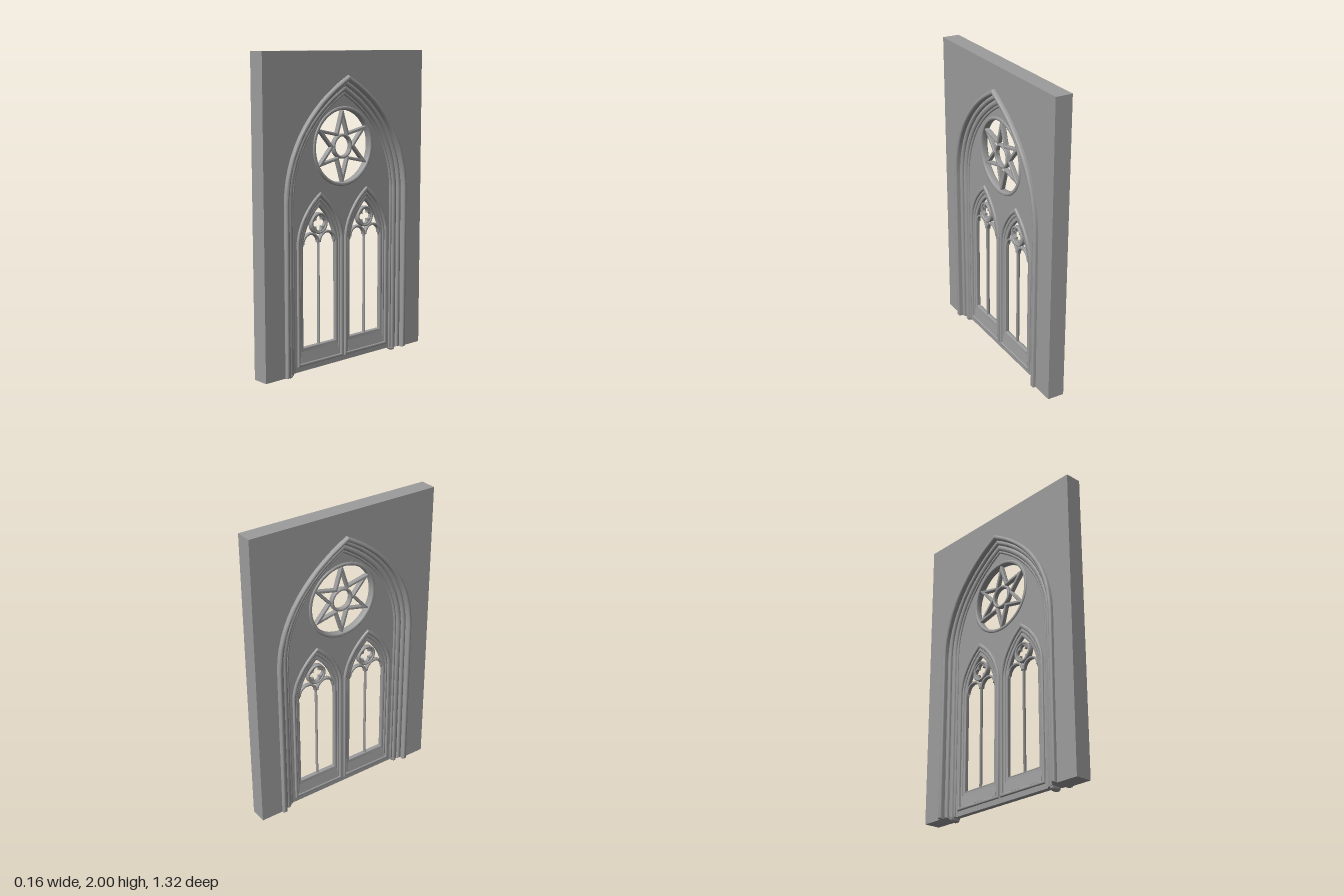
import * as THREE from 'three';
import { toCreasedNormals } from 'three/addons/utils/BufferGeometryUtils.js';

const material = new THREE.MeshStandardMaterial({ color: 0x9c9c9c });
const V = (x, y) => new THREE.Vector2(x, y);

// Pointed arch outline, from the right foot over the apex to the left foot.
// c holds the two curve handles as fractions of the width and the rise
function archPoints(w, base, spring, apex, c) {
  const h = apex - spring;
  const side = new THREE.CubicBezierCurve(
    V(w, spring), V(w * c[0], spring + h * c[1]), V(w * c[2], spring + h * c[3]), V(0, apex)
  ).getPoints(14);
  const right = [V(w, base), ...side];
  const left = right.slice(0, -1).reverse().map((p) => V(-p.x, p.y));
  return [...right, ...left];
}

function circlePoints(r, n = 40, cx = 0, cy = 0) {
  return Array.from({ length: n }, (_, i) => {
    const a = (i / n) * Math.PI * 2;
    return V(cx + r * Math.cos(a), cy + r * Math.sin(a));
  });
}

// Six-pointed star with one point straight up
function starPoints(tip, inner) {
  return Array.from({ length: 12 }, (_, i) => {
    const a = Math.PI / 2 + (i * Math.PI) / 6;
    const r = i % 2 ? inner : tip;
    return V(r * Math.cos(a), r * Math.sin(a));
  });
}

// Four round lobes of radius r whose centres lie at distance d
function quatrefoilPoints(d, r) {
  return Array.from({ length: 48 }, (_, i) => {
    const a = (i / 48) * Math.PI * 2;
    const b = a - Math.round(a / (Math.PI / 2)) * (Math.PI / 2);
    const q = d * Math.cos(b) + Math.sqrt(r * r - (d * Math.sin(b)) ** 2);
    return V(q * Math.cos(a), q * Math.sin(a));
  });
}

function addMesh(name, parent, geo, x = 0, y = 0) {
  const mesh = new THREE.Mesh(geo, material);
  mesh.name = name;
  mesh.position.set(x, y, 0);
  parent.add(mesh);
  return mesh;
}

// Slab of half thickness t centred on the wall plane, with rounded edges
function slab(name, parent, outline, holes, t, bevel = 0) {
  const shape = new THREE.Shape(outline);
  holes.forEach((h) => shape.holes.push(new THREE.Path(h)));
  const geo = new THREE.ExtrudeGeometry(shape, {
    depth: 2 * (t - bevel), bevelEnabled: bevel > 0, bevelThickness: bevel,
    bevelSize: bevel, bevelOffset: -bevel, bevelSegments: 3,
  });
  geo.translate(0, 0, bevel - t);
  return addMesh(name, parent, toCreasedNormals(geo, 0.6));
}

const mainArch = (w, base) =>
  archPoints(w, base, 1.11, 1.85 - (0.51 - w) * 1.15, [0.98, 0.47, 0.55, 0.8]);

// Moulding open at the foot, following the main arch
function archBand(name, parent, outer, inner, base, t, bevel) {
  slab(name, parent, [...mainArch(outer, base), ...mainArch(inner, base).reverse()], [], t, bevel);
}

const lancetArch = (w, base) => {
  const d = 0.188 - w;
  return archPoints(w, base, 0.85 - d * 0.8, 1.14 - d * 1.65, [0.94, 0.4, 0.5, 0.78]);
};

function createLancet() {
  const g = new THREE.Group();
  g.name = 'lancetWindow';
  // Stepped frames
  slab('lancetMoulding', g, lancetArch(0.188, 0.058), [lancetArch(0.168, 0.078)], 0.03, 0.009);
  slab('lancetStep', g, lancetArch(0.17, 0.075), [lancetArch(0.152, 0.09)], 0.02, 0.007);
  slab('innerFrame', g, lancetArch(0.156, 0.085), [lancetArch(0.134, 0.17)], 0.014, 0.005);

  // Sill sloping on both faces, with a thin nosing on top
  const sillGeo = new THREE.ExtrudeGeometry(
    new THREE.Shape([V(-0.024, 0.078), V(0.024, 0.078), V(0.011, 0.17), V(-0.011, 0.17)]),
    { depth: 0.31, bevelEnabled: false }
  );
  sillGeo.translate(0, 0, -0.155);
  sillGeo.rotateY(Math.PI / 2);
  addMesh('sill', g, sillGeo);
  addMesh('sillNosing', g, new THREE.CylinderGeometry(0.007, 0.007, 0.275, 8).rotateZ(Math.PI / 2).scale(1, 1, 2.4), 0, 0.167);

  addMesh('mullion', g, new THREE.CylinderGeometry(0.006, 0.006, 0.67, 8).scale(1, 1, 2), 0, 0.5);

  // Round heads of the two lights
  for (const s of [-1, 1]) {
    const arc = (r) => Array.from({ length: 19 }, (_, i) => {
      const a = (i / 18) * Math.PI;
      return V(s * 0.067 + r * Math.cos(a), 0.825 + r * Math.sin(a));
    });
    slab('lightArch', g, [...arc(0.069), ...arc(0.054).reverse()], [], 0.014, 0.005);
  }
  // Corbels where the heads meet the frame and mullion
  for (const x of [-0.129, 0, 0.129]) {
    addMesh('corbel', g, new THREE.CylinderGeometry(0.012, 0.005, 0.025, 8), x, 0.82);
  }
  // Quatrefoil roundel
  slab('roundelRing', g, circlePoints(0.067), [circlePoints(0.052)], 0.018, 0.006).position.y = 0.945;
  slab('quatrefoil', g, circlePoints(0.056), [quatrefoilPoints(0.027, 0.0205)], 0.011, 0.003).position.y = 0.945;
  return g;
}

function createRose() {
  const g = new THREE.Group();
  g.name = 'roseWindow';
  slab('roseRing', g, circlePoints(0.25, 56), [circlePoints(0.226, 56)], 0.025, 0.01);
  slab('star', g, starPoints(0.24, 0.1), [starPoints(0.178, 0.074)], 0.016, 0.007);
  slab('hub', g, circlePoints(0.079), [circlePoints(0.061)], 0.017, 0.007);
  g.position.y = 1.41;
  return g;
}

export function createModel() {
  const wall = new THREE.Group();
  wall.name = 'tracedWall';
  const base = 0.025;

  // Wall with the pointed opening cut up from its foot
  slab('wall', wall, [
    V(0.66, base), V(0.66, 2), V(-0.66, 2), V(-0.66, base),
    ...mainArch(0.485, base).reverse(),
  ], [], 0.055);

  // Rounded mouldings stepping inwards around the arch
  archBand('hoodMoulding', wall, 0.51, 0.482, base, 0.08, 0.012);
  archBand('reveal', wall, 0.487, 0.455, base, 0.05, 0.014);
  archBand('shaftRoll', wall, 0.459, 0.42, 0.018, 0.038, 0.017);
  archBand('innerMoulding', wall, 0.424, 0.405, base, 0.027, 0.008);

  // Recessed panel pierced by the rose and the lancets
  const lancetX = 0.195;
  const lancetHole = (s) => lancetArch(0.168, 0.078).map((p) => V(p.x + s * lancetX, p.y));
  slab('panel', wall, mainArch(0.415, base),
    [circlePoints(0.235, 56, 0, 1.41), lancetHole(-1), lancetHole(1)], 0.018);

  wall.add(createRose());
  for (const s of [-1, 1]) {
    const lancet = createLancet();
    lancet.position.x = s * lancetX;
    wall.add(lancet);
    // Rounded foot under each shaft
    addMesh('shaftFoot', wall, new THREE.SphereGeometry(1, 16, 10).scale(0.0195, 0.02, 0.038), s * 0.4395, 0.02);
  }

  // Turn the wall to lie along z
  wall.rotation.y = Math.PI / 2;
  const root = new THREE.Group();
  root.name = 'windowWall';
  root.add(wall);
  return root;
}
